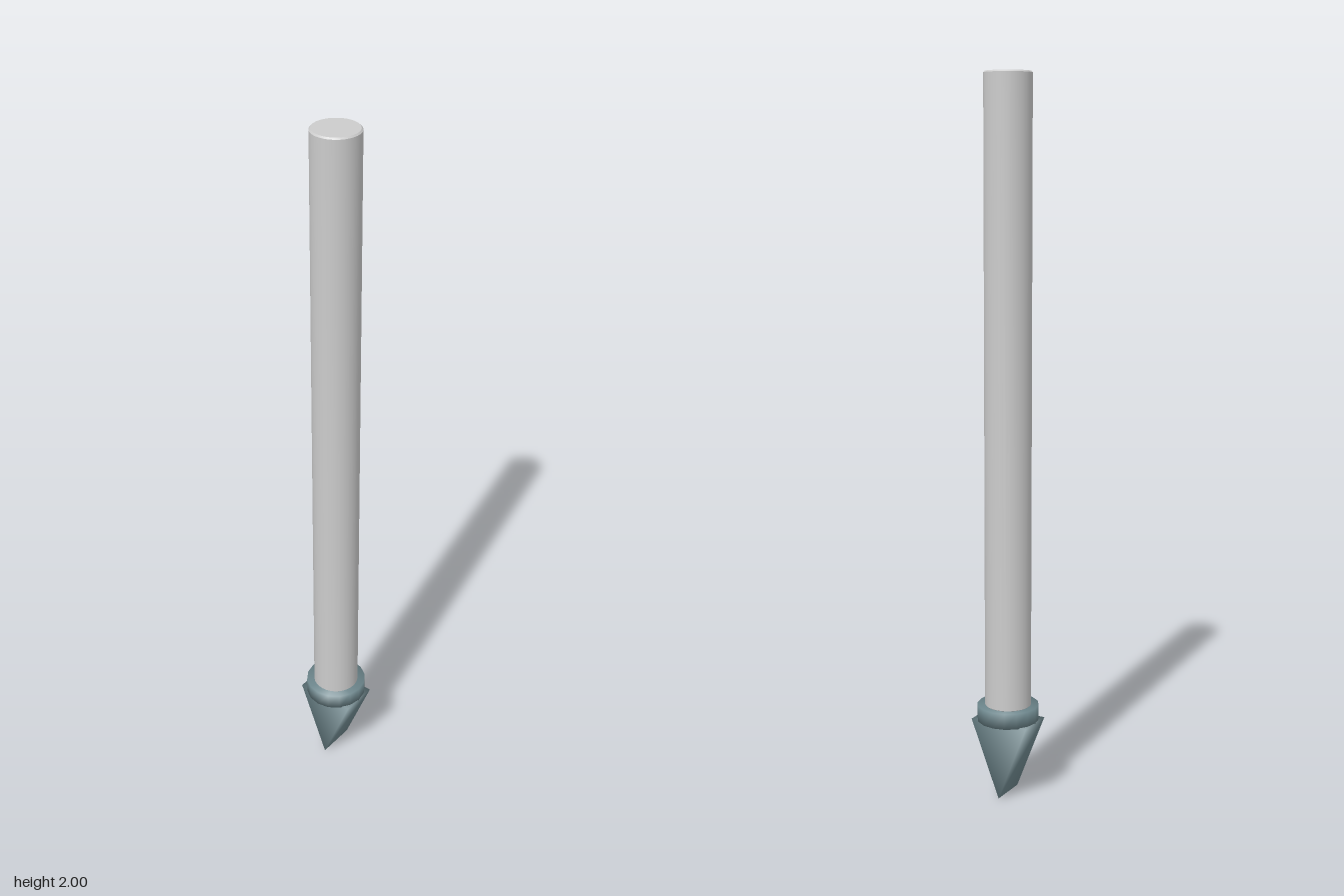
import * as THREE from 'three';
import { mergeVertices, toCreasedNormals } from 'three/addons/utils/BufferGeometryUtils.js';

// Weld all corners so the shading runs softly over the edges
function softened(geometry) {
  geometry.deleteAttribute('uv');
  geometry.deleteAttribute('normal');
  const welded = mergeVertices(geometry, 1e-4);
  welded.computeVertexNormals();
  return welded;
}

export function createModel() {
  const group = new THREE.Group();
  const grey = new THREE.MeshStandardMaterial({ color: 0xcccccc });
  const steel = new THREE.MeshStandardMaterial({ color: 0x6c858b });

  const add = (name, geometry, material) => {
    const mesh = new THREE.Mesh(geometry, material);
    mesh.name = name;
    group.add(mesh);
  };

  // Long round shaft with a tiny bevel at each end
  const r = 0.065, bevel = 0.004, bottom = 0.262, top = 2;
  const profile = [
    [0, bottom], [r - bevel, bottom], [r, bottom + bevel],
    [r, top - bevel], [r - bevel, top], [0, top],
  ].map(([x, y]) => new THREE.Vector2(x, y));
  add('shaft', toCreasedNormals(new THREE.LatheGeometry(profile, 32), 0.6), grey);

  // Sixteen-sided collar between shaft and tip
  const collar = new THREE.CylinderGeometry(0.087, 0.087, 0.045, 16);
  collar.translate(0, 0.2425, 0);
  add('collar', softened(collar), steel);

  // Wedge tip: a triangular prism whose cutting edge runs along z
  const triangle = new THREE.Shape();
  triangle.moveTo(0, 0);
  triangle.lineTo(0.087, 0.222);
  triangle.lineTo(-0.087, 0.222);
  triangle.closePath();
  const wedge = new THREE.ExtrudeGeometry(triangle, { depth: 0.11, bevelEnabled: false });
  wedge.translate(0, 0, -0.055);
  add('wedgeTip', softened(wedge), steel);

  return group;
}
